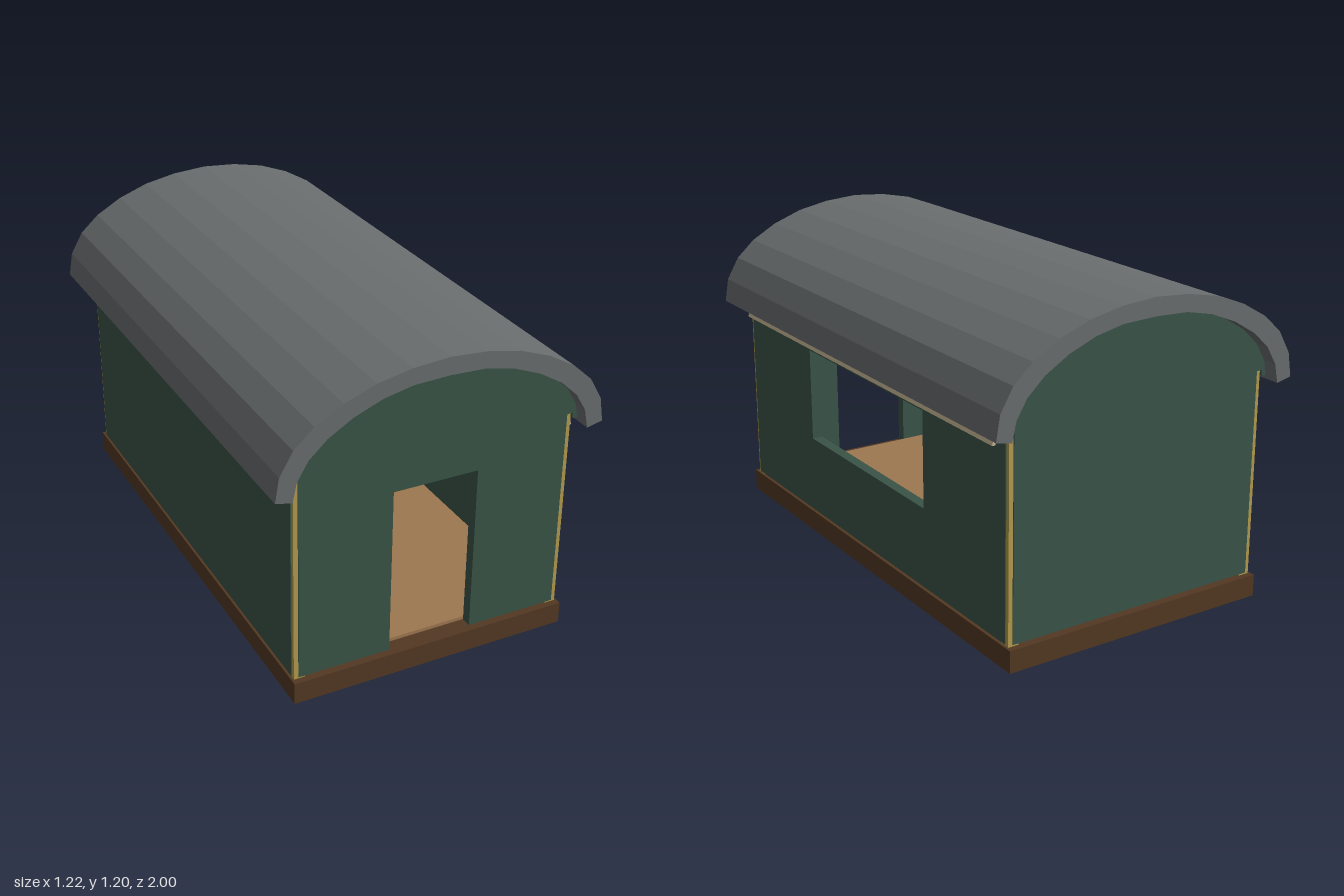
import * as THREE from 'three';

const mat = (name, color, side = THREE.FrontSide) => {
  const m = new THREE.MeshStandardMaterial({ color, side });
  m.name = name;
  return m;
};

// Half arcs from crown to eave, as [x, y]
const OUTER = [[0, 1.2], [0.135, 1.19], [0.26, 1.165], [0.375, 1.122], [0.475, 1.065], [0.547, 1.0], [0.595, 0.917], [0.61, 0.828]];
const INNER = [[0, 1.135], [0.13, 1.13], [0.237, 1.107], [0.34, 1.066], [0.43, 1.012], [0.495, 0.952], [0.535, 0.885], [0.55, 0.815]];

// Mirror a half arc into a full arc running from -x to +x
const fullArc = (half) => [...half.slice(1).reverse().map(([x, y]) => [-x, y]), ...half];
const toShape = (pts) => new THREE.Shape(pts.map(([x, y]) => new THREE.Vector2(x, y)));
const rect = (x0, y0, x1, y1) => [[x0, y0], [x1, y0], [x1, y1], [x0, y1]];

export function createModel() {
  const group = new THREE.Group();
  const green = mat('wall green', 0x3a5447);
  const grey = mat('roof grey', 0x696d6e);
  const brown = mat('base brown', 0x533822);
  const gold = mat('post gold', 0xb39b4e);
  const cream = mat('ceiling cream', 0xc9b998);
  const tan = mat('floor tan', 0x9e7851);

  const add = (name, geometry, material) => {
    const mesh = new THREE.Mesh(geometry, material);
    mesh.name = name;
    group.add(mesh);
    return mesh;
  };
  const box = (name, material, x0, x1, y0, y1, z0, z1) => {
    const g = new THREE.BoxGeometry(x1 - x0, y1 - y0, z1 - z0);
    g.translate((x0 + x1) / 2, (y0 + y1) / 2, (z0 + z1) / 2);
    return add(name, g, material);
  };
  // Extrude an outline along z between two planes
  const slab = (shape, z0, z1) => {
    const g = new THREE.ExtrudeGeometry(shape, { depth: z1 - z0, bevelEnabled: false });
    return g.translate(0, 0, z0);
  };

  // Base and floor, with a narrow gap between them
  box('base', brown, -0.53, 0.53, 0, 0.082, -0.965, 0.965);
  box('floor', tan, -0.485, 0.485, 0.089, 0.102, -0.905, 0.905);

  // Front wall with door opening, and plain back wall
  const W = 0.505, Y0 = 0.089, Y1 = 0.872;
  const frontShape = toShape([[-W, Y0], [-0.16, Y0], [-0.16, 0.72], [0.16, 0.72], [0.16, Y0], [W, Y0], [W, Y1], [-W, Y1]]);
  add('frontWall', slab(frontShape, 0.905, 0.945), green);
  add('backWall', slab(toShape(rect(-W, Y0, W, Y1)), -0.945, -0.905), green);

  // Left wall with window opening, and plain right wall
  const sideShape = toShape(rect(-0.927, Y0, 0.927, Y1));
  sideShape.holes.push(new THREE.Path(rect(-0.42, 0.39, 0.42, 0.75).reverse().map(([x, y]) => new THREE.Vector2(x, y))));
  const leftWall = slab(sideShape, 0.485, 0.525);
  leftWall.rotateY(Math.PI / 2);
  add('leftWall', leftWall, green);
  box('rightWall', green, -0.525, -0.485, Y0, Y1, -0.927, 0.927);

  // Corner posts
  for (const sx of [-1, 1]) {
    for (const sz of [-1, 1]) {
      const post = box('cornerPost', gold, -0.0205, 0.0205, 0.082, 0.85, -0.0205, 0.0205);
      post.position.set(sx * 0.501, 0, sz * 0.921);
    }
  }

  // Gables, lined on the inside
  const gableHalf = [...INNER.slice(0, -1), [0.547, 0.83], [0.527, 0.83], [0.527, 0.85], [W, 0.85], [W, Y1]];
  const gable = toShape(fullArc(gableHalf));
  const lining = toShape(fullArc([...INNER.slice(0, -2).map(([x, y]) => [x, y - 0.004]), [0.48, Y1]]));
  for (const [end, s] of [['front', 1], ['back', -1]]) {
    add(end + 'Gable', slab(gable, s > 0 ? 0.905 : -0.945, s > 0 ? 0.945 : -0.905), green);
    add(end + 'GableLining', slab(lining, s > 0 ? 0.899 : -0.904, s > 0 ? 0.904 : -0.899), cream);
  }

  // Barrel roof shell
  add('roof', slab(toShape([...fullArc(OUTER), ...fullArc(INNER).reverse()]), -1, 1), grey);

  // Thin ceiling lining whose edges hang below the eaves
  const liningOuter = [...INNER.map(([x, y]) => [x * 0.998, y - 0.001]), [0.558, 0.777]];
  const liningInner = [...INNER.map(([x, y]) => [x * 0.979, y - 0.012]), [0.546, 0.777]];
  add('ceiling', slab(toShape([...fullArc(liningOuter), ...fullArc(liningInner).reverse()]), -0.9, 0.9), cream);

  return group;
}
